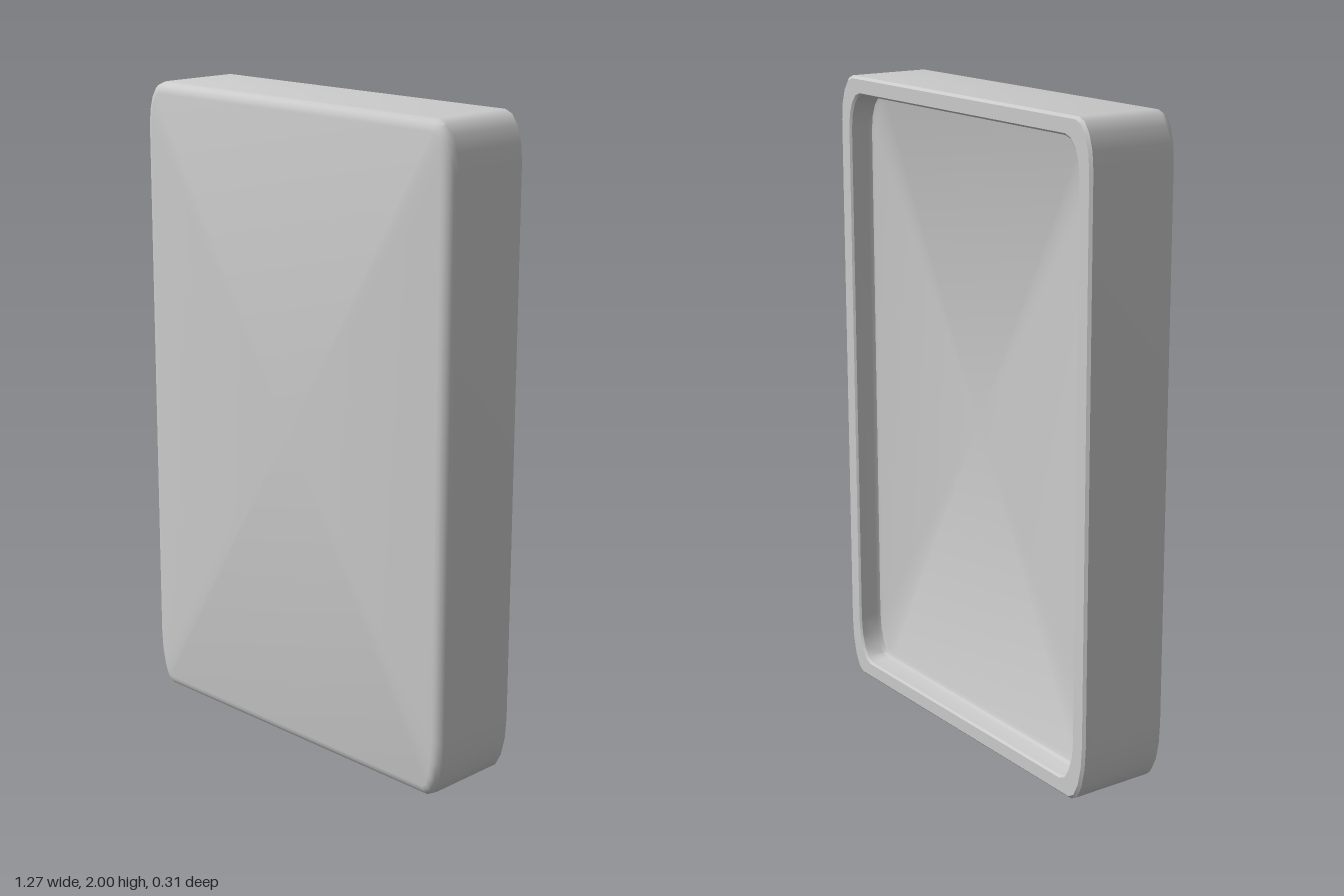
import * as THREE from 'three';
import { toCreasedNormals } from 'three/addons/utils/BufferGeometryUtils.js';

const HALF_W = 0.635, HEIGHT = 2, STEPS = 4;

// Rounded outline, counter-clockwise from the front; corners are taller than wide.
function outline(inset, z, rx, ryTop, ryBottom) {
  const w = HALF_W - inset, top = HEIGHT - inset, bottom = inset;
  const corners = [
    [w - rx, bottom + ryBottom, ryBottom, -Math.PI / 2],
    [w - rx, top - ryTop, ryTop, 0],
    [-w + rx, top - ryTop, ryTop, Math.PI / 2],
    [-w + rx, bottom + ryBottom, ryBottom, Math.PI],
  ];
  const ring = [];
  for (const [cx, cy, ry, start] of corners) {
    for (let i = 0; i <= STEPS; i++) {
      const a = start + (i / STEPS) * Math.PI / 2;
      ring.push([cx + rx * Math.cos(a), cy + ry * Math.sin(a), z]);
    }
  }
  return ring;
}

// Skin a list of rings running from front to back.
function skin(rings, capStart, capEnd) {
  const n = rings[0].length, pos = rings.flat(2), idx = [];
  for (let r = 0; r < rings.length - 1; r++) {
    for (let j = 0; j < n; j++) {
      const k = (j + 1) % n, a = r * n + j, b = r * n + k;
      idx.push(a, a + n, b, b, a + n, b + n);
    }
  }
  const cap = (ring, flip) => {
    const base = ring * n, c = pos.length / 3;
    pos.push(0, HEIGHT / 2, rings[ring][0][2]);
    for (let j = 0; j < n; j++) {
      const a = base + j, b = base + (j + 1) % n;
      idx.push(c, flip ? b : a, flip ? a : b);
    }
  };
  if (capStart) cap(0, false);
  if (capEnd) cap(rings.length - 1, true);
  const g = new THREE.BufferGeometry();
  g.setAttribute('position', new THREE.Float32BufferAttribute(pos, 3));
  g.setIndex(idx);
  return toCreasedNormals(g, 0.6);
}

export function createModel() {
  const group = new THREE.Group();
  const material = new THREE.MeshStandardMaterial({ color: 0xcccccc });
  const add = (name, geometry) => {
    const mesh = new THREE.Mesh(geometry, material);
    mesh.name = name;
    group.add(mesh);
  };

  // Outer shell: rounded front edge, straight sides, slightly eased back edge
  const shell = [];
  const R = 0.035;
  for (let i = 0; i <= 4; i++) {
    const a = (i / 4) * Math.PI / 2, inset = R * (1 - Math.sin(a));
    shell.push(outline(inset, 0.153 - R * (1 - Math.cos(a)), 0.065 - inset, 0.14 - inset, 0.185 - inset));
  }
  shell.push(outline(0, -0.145, 0.065, 0.14, 0.185));
  shell.push(outline(0.008, -0.153, 0.062, 0.135, 0.18));
  add('shell', skin(shell, true, false));

  // Flat rim around the back opening
  add('backRim', skin([
    outline(0.008, -0.153, 0.062, 0.135, 0.18),
    outline(0.05, -0.153, 0.065, 0.11, 0.14),
  ], false, false));

  // Shallow recess with a rounded inner wall and a flat floor
  add('backRecess', skin([
    outline(0.05, -0.153, 0.065, 0.11, 0.14),
    outline(0.056, -0.147, 0.065, 0.11, 0.14),
    outline(0.058, -0.09, 0.065, 0.11, 0.14),
    outline(0.063, -0.078, 0.065, 0.11, 0.14),
    outline(0.075, -0.073, 0.065, 0.11, 0.14),
  ], false, true));

  return group;
}
